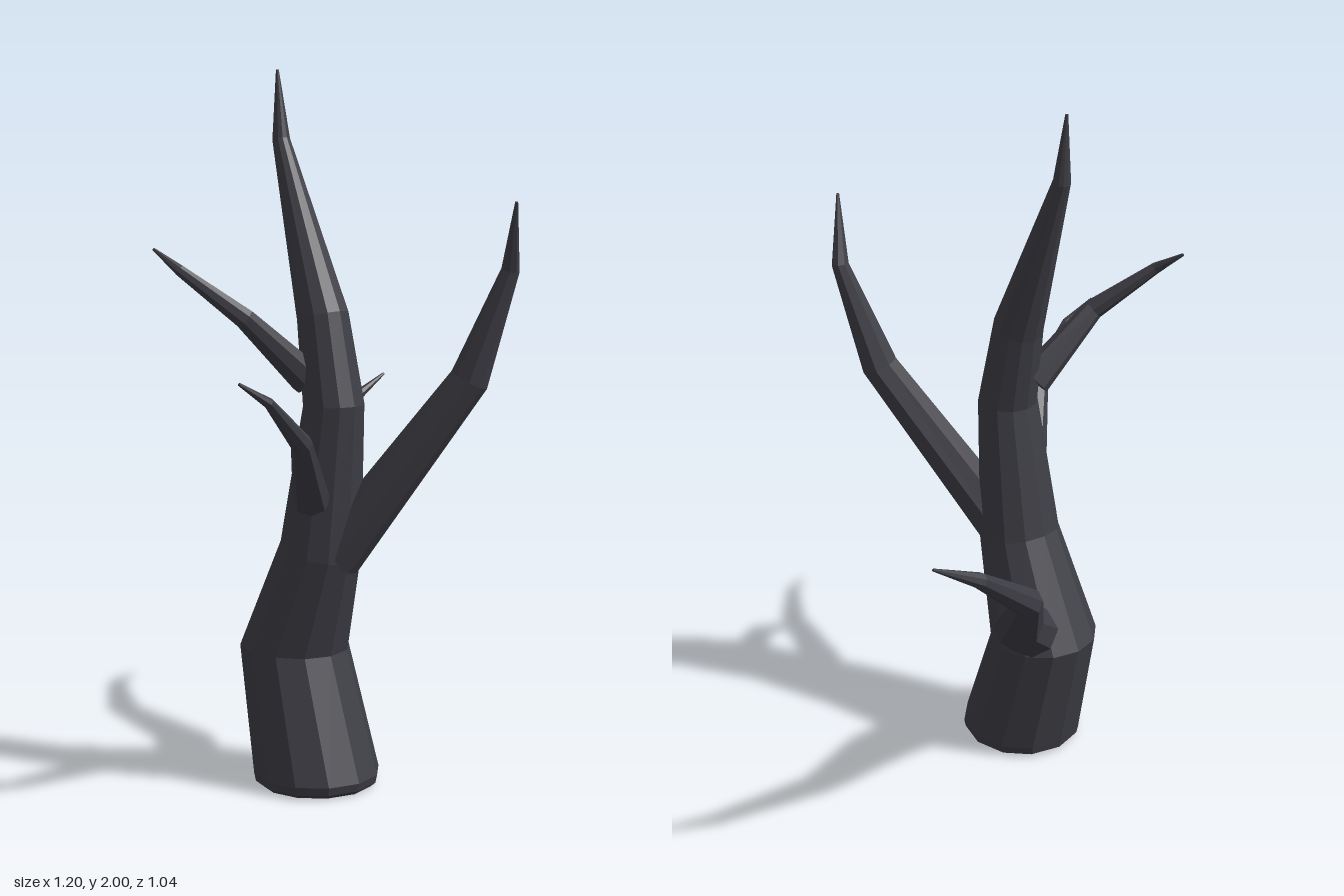
import * as THREE from 'three';

const bark = new THREE.MeshStandardMaterial({ color: 0x3d3d45, flatShading: true, roughness: 0.9 });

// Tapered limb through [x, y, z, radius] stations; the first `level` rings stay horizontal.
function limb(name, stations, sides, level = 0) {
  const pts = stations.map(([x, y, z]) => new THREE.Vector3(x, y, z));
  const dirs = pts.slice(1).map((p, i) => p.clone().sub(pts[i]).normalize());
  const up = new THREE.Vector3(0, 1, 0);
  const pos = [], idx = [], n = pts.length;
  const frame = new THREE.Quaternion();
  let last = up;
  pts.forEach((p, i) => {
    // mitre each ring between its neighbouring segments
    const t = i < level ? up.clone()
      : (dirs[i] || dirs[n - 2]).clone().add(dirs[i - 1] || dirs[0]).normalize();
    frame.premultiply(new THREE.Quaternion().setFromUnitVectors(last, t));
    last = t;
    for (let j = 0; j < sides; j++) {
      const a = (j / sides) * Math.PI * 2, r = stations[i][3];
      const v = new THREE.Vector3(Math.sin(a) * r, 0, Math.cos(a) * r).applyQuaternion(frame).add(p);
      pos.push(v.x, v.y, v.z);
    }
  });
  for (let i = 0; i < n - 1; i++) {
    for (let j = 0; j < sides; j++) {
      const a = i * sides + j, b = i * sides + (j + 1) % sides;
      idx.push(a, b, b + sides, a, b + sides, a + sides);
    }
  }
  // end caps
  const top = (n - 1) * sides;
  for (let j = 1; j < sides - 1; j++) idx.push(0, j + 1, j, top, top + j, top + j + 1);
  const geo = new THREE.BufferGeometry();
  geo.setAttribute('position', new THREE.Float32BufferAttribute(pos, 3));
  geo.setIndex(idx);
  geo.computeVertexNormals();
  const mesh = new THREE.Mesh(geo, bark);
  mesh.name = name;
  return mesh;
}

export function createModel() {
  const tree = new THREE.Group();
  tree.name = 'bareTree';

  // Trunk with a small bevel at the foot
  tree.add(limb('trunk', [
    [-0.12, 0, 0.01, 0.16], [-0.12, 0.012, 0.01, 0.175], [-0.12, 0.035, 0.01, 0.18],
    [-0.12, 0.385, -0.085, 0.157], [-0.12, 0.68, 0.03, 0.117], [-0.12, 1.09, 0.085, 0.086],
    [-0.12, 1.33, 0.04, 0.073], [-0.12, 1.81, -0.135, 0.025], [-0.12, 2, -0.15, 0.004],
  ], 12, 3));

  // Branches, each starting inside the trunk
  tree.add(limb('frontBranch', [
    [-0.11, 0.66, 0.075, 0.077], [0.125, 1.165, 0.365, 0.054],
    [0.187, 1.465, 0.455, 0.025], [0.145, 1.65, 0.515, 0.004],
  ], 8));
  tree.add(limb('backLeftBranch', [
    [-0.03, 0.45, -0.135, 0.08], [0.075, 0.545, -0.2, 0.072], [0.21, 0.77, -0.4, 0.042],
    [0.455, 0.98, -0.5, 0.022], [0.598, 1.063, -0.492, 0.004],
  ], 8));
  tree.add(limb('upperRightBranch', [
    [-0.16, 1.16, 0.02, 0.05], [-0.355, 1.335, -0.01, 0.03],
    [-0.485, 1.465, -0.125, 0.016], [-0.517, 1.52, -0.198, 0.004],
  ], 8));
  tree.add(limb('lowerRightBranch', [
    [-0.205, 0.835, 0.09, 0.052], [-0.355, 1.02, 0.225, 0.03],
    [-0.51, 1.15, 0.277, 0.014], [-0.598, 1.205, 0.266, 0.004],
  ], 8));
  return tree;
}
